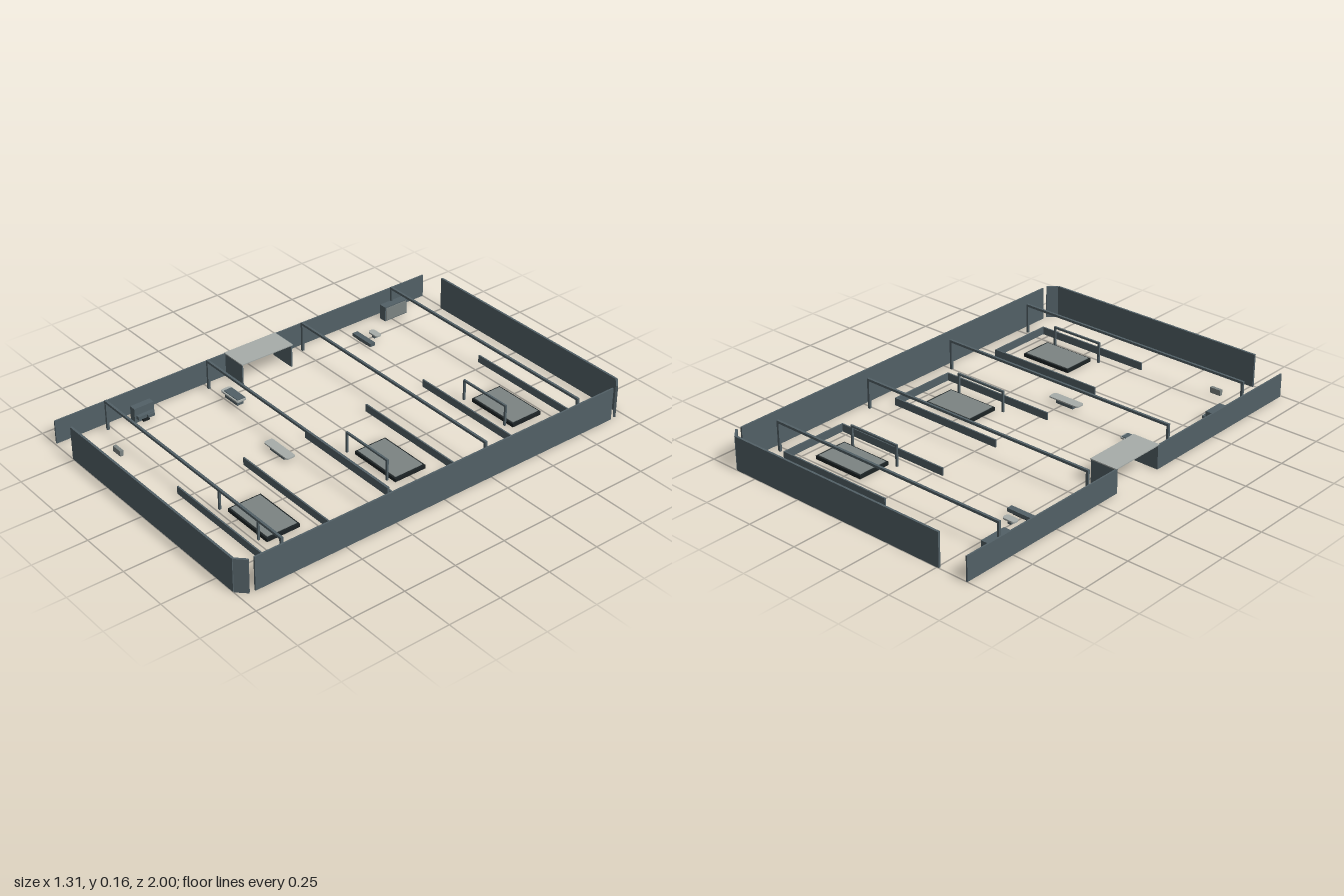
import * as THREE from 'three';

const material = (name, color) => {
  const m = new THREE.MeshStandardMaterial({ color });
  m.name = name;
  return m;
};

export function createModel() {
  const model = new THREE.Group();
  model.name = 'wardFloor';
  const slate = material('slate', 0x526066);
  const pale = material('paleGrey', 0xa7adaa);
  const grey = material('midGrey', 0x7c8483);
  const dark = material('nearBlack', 0x1c2325);

  // Box given by its limits on each axis
  const box = (name, mat, x0, x1, y0, y1, z0, z1, parent = model) => {
    const mesh = new THREE.Mesh(new THREE.BoxGeometry(x1 - x0, y1 - y0, z1 - z0), mat);
    mesh.position.set((x0 + x1) / 2, (y0 + y1) / 2, (z0 + z1) / 2);
    mesh.name = name;
    parent.add(mesh);
    return mesh;
  };

  // Flat slab with rounded corners
  const roundedSlab = (name, mat, x0, x1, y0, y1, z0, z1, r) => {
    const w = (x1 - x0) / 2, d = (z1 - z0) / 2;
    const s = new THREE.Shape();
    s.absarc(w - r, d - r, r, 0, Math.PI / 2);
    s.absarc(-w + r, d - r, r, Math.PI / 2, Math.PI);
    s.absarc(-w + r, -d + r, r, Math.PI, Math.PI * 1.5);
    s.absarc(w - r, -d + r, r, Math.PI * 1.5, Math.PI * 2);
    const geo = new THREE.ExtrudeGeometry(s, { depth: y1 - y0, bevelEnabled: false, curveSegments: 5 });
    geo.rotateX(-Math.PI / 2);
    const mesh = new THREE.Mesh(geo, mat);
    mesh.position.set((x0 + x1) / 2, y0, (z0 + z1) / 2);
    mesh.name = name;
    model.add(mesh);
  };

  // Bar carried on a post at each end
  const barOnPosts = (name, x0, x1, z, top, t) => {
    const g = new THREE.Group();
    g.name = name;
    box('bar', slate, x0, x1, top - t, top, z - t / 2, z + t / 2, g);
    box('postA', slate, x0, x0 + t, 0, top - t, z - t / 2, z + t / 2, g);
    box('postB', slate, x1 - t, x1, 0, top - t, z - t / 2, z + t / 2, g);
    model.add(g);
  };

  // Outer walls with cut corners
  const H = 0.155, L = 0.11;
  box('longWall', slate, 0.645, 0.653, 0, H, -0.93, 0.93);
  for (const s of [-1, 1]) {
    box('endWall', slate, -0.51, 0.607, 0, H, s * 0.995 - 0.005, s * 0.995 + 0.005);
    const corner = box('cornerWall', slate, -0.029, 0.029, 0, H, -0.005, 0.005);
    corner.position.set(0.628, H / 2, s * 0.975);
    corner.rotation.y = s * Math.PI / 4;
  }

  // Low entrance wall with a covered porch
  box('entranceWall', slate, -0.654, -0.647, 0, L, -1, -0.137);
  box('entranceWall', slate, -0.654, -0.647, 0, L, 0.13, 0.993);
  box('porchSide', slate, -0.654, -0.525, 0, L, -0.14, -0.133);
  box('porchSide', slate, -0.654, -0.525, 0, L, 0.125, 0.132);
  box('porchRoof', pale, -0.654, -0.522, L - 0.002, L + 0.003, -0.142, 0.133);

  // Long overhead bars dividing the bays
  for (const z of [-0.775, -0.26, 0.252, 0.768]) barOnPosts('overheadBar', -0.612, 0.605, z, 0.142, 0.011);

  // Three bays: low surround, platform and hand rail
  for (const z of [-0.645, -0.003, 0.639]) {
    box('bayWall', slate, -0.042, 0.538, 0, 0.035, z - 0.166, z - 0.159);
    box('bayWall', slate, -0.042, 0.538, 0, 0.035, z + 0.159, z + 0.166);
    box('bayBack', slate, 0.531, 0.538, 0, 0.035, z - 0.159, z + 0.159);
    box('platformBase', dark, 0.183, 0.44, 0, 0.016, z - 0.08, z + 0.08);
    box('platformTop', grey, 0.191, 0.43, 0.016, 0.019, z - 0.072, z + 0.072);
    barOnPosts('handRail', 0.145, 0.41, z + 0.095, 0.1, 0.009);
  }

  // Cabinet beside the entrance wall
  box('cabinet', slate, -0.61, -0.573, 0, 0.072, -0.838, -0.71);
  box('cabinetDoor', grey, -0.573, -0.57, 0.005, 0.067, -0.832, -0.716);

  // Bench and small stool
  box('bench', slate, -0.555, -0.43, 0.006, 0.022, -0.532, -0.505);
  box('benchFoot', dark, -0.53, -0.455, 0, 0.006, -0.527, -0.51);
  roundedSlab('stoolSeat', pale, -0.525, -0.462, 0.016, 0.023, -0.6, -0.567, 0.014);
  box('stoolStem', slate, -0.502, -0.485, 0, 0.016, -0.592, -0.575);

  // Reception desk near the porch
  roundedSlab('deskTop', pale, -0.525, -0.4, 0.024, 0.031, 0.198, 0.25, 0.012);
  box('deskBody', slate, -0.505, -0.415, 0, 0.024, 0.207, 0.24);
  box('deskPad', slate, -0.507, -0.408, 0.031, 0.034, 0.202, 0.243);

  // Free standing table
  roundedSlab('tableTop', pale, -0.093, 0.068, 0.02, 0.026, 0.295, 0.34, 0.01);
  box('tableBody', slate, -0.06, 0.035, 0, 0.02, 0.304, 0.33);

  // Chair against the entrance wall
  box('chairBack', slate, -0.605, -0.573, 0, 0.07, 0.557, 0.655);
  box('chairSeat', slate, -0.573, -0.555, 0.02, 0.036, 0.567, 0.647);
  box('chairLip', slate, -0.555, -0.545, 0.022, 0.034, 0.572, 0.605);
  box('chairFoot', dark, -0.573, -0.56, 0, 0.02, 0.59, 0.62);

  // Small sign block
  box('block', grey, -0.456, -0.402, 0, 0.026, 0.824, 0.84);

  return model;
}
